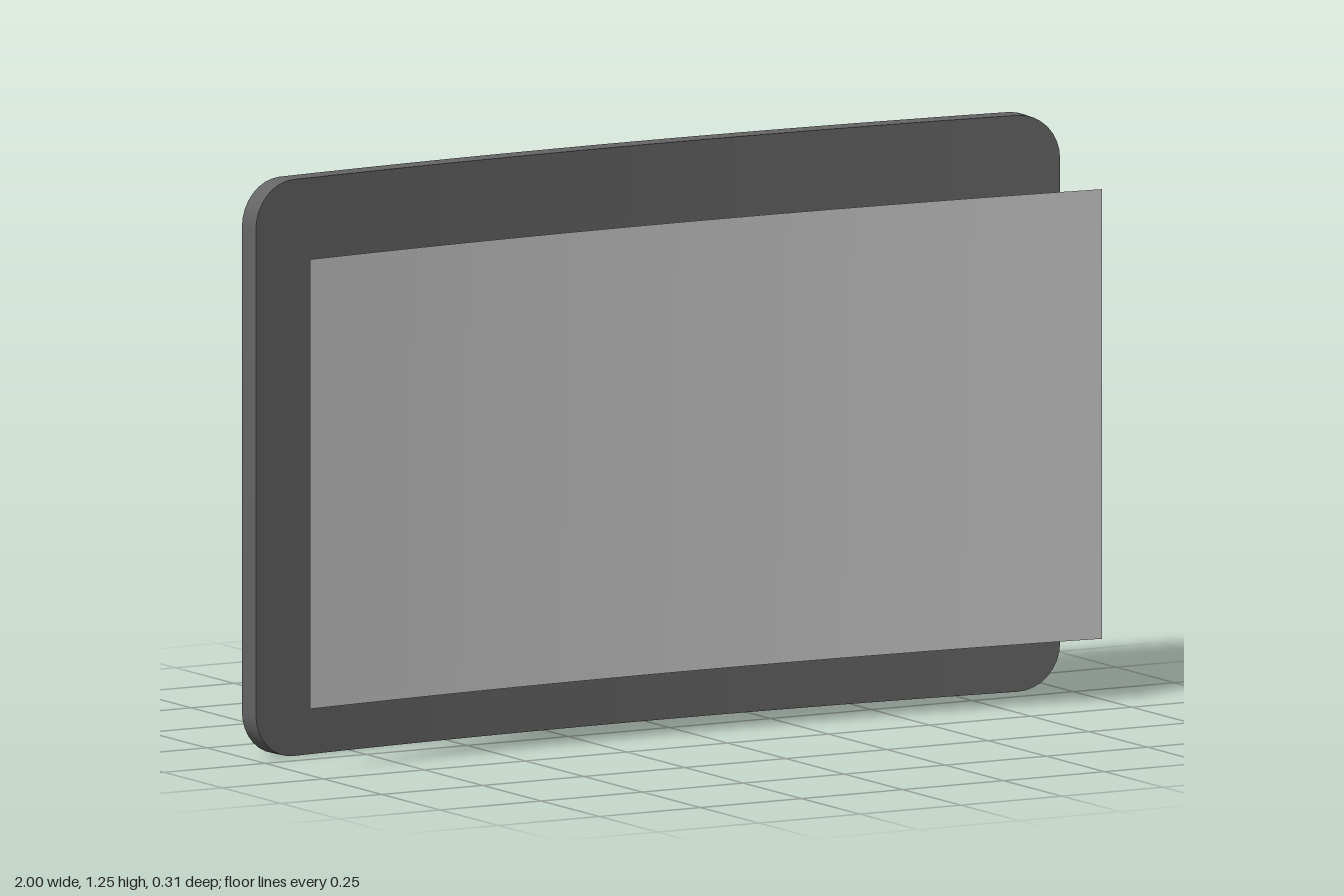
import * as THREE from 'three';
import { toCreasedNormals } from 'three/addons/utils/BufferGeometryUtils.js';

// Wraps a flat geometry around a vertical axis in front of it; radius applies at z = 0.
function bend(geometry, radius) {
  const p = geometry.attributes.position;
  for (let i = 0; i < p.count; i++) {
    const angle = p.getX(i) / radius;
    const r = radius - p.getZ(i);
    p.setXYZ(i, r * Math.sin(angle), p.getY(i), radius - r * Math.cos(angle));
  }
  geometry.computeVertexNormals();
  return geometry;
}

// Slab with rounded corners: box columns are moved so the end ones follow the corner arcs.
function roundedSlab(halfWidth, height, depth, corner) {
  const arcSteps = 8, middleSteps = 20;
  const columns = [];
  for (let i = 0; i < arcSteps; i++) {
    const a = (i / arcSteps) * Math.PI / 2;
    columns.push([-halfWidth + corner * (1 - Math.cos(a)), height / 2 - corner * (1 - Math.sin(a))]);
  }
  const inner = halfWidth - corner;
  for (let i = 0; i <= middleSteps; i++) {
    columns.push([-inner + 2 * inner * i / middleSteps, height / 2]);
  }
  for (let i = arcSteps - 1; i >= 0; i--) columns.push([-columns[i][0], columns[i][1]]);

  const n = columns.length - 1;
  const geometry = new THREE.BoxGeometry(n, 2, depth, n, 1, 1);
  const p = geometry.attributes.position;
  for (let i = 0; i < p.count; i++) {
    const [x, halfHeight] = columns[Math.round(p.getX(i) + n / 2)];
    p.setXYZ(i, x, Math.sign(p.getY(i)) * halfHeight, p.getZ(i));
  }
  return geometry;
}

export function createModel() {
  const group = new THREE.Group();
  const height = 1.25;

  // Curved back panel
  const panelGeometry = bend(roundedSlab(1, height, 0.05, 0.1), 8.78);
  const panel = new THREE.Mesh(
    toCreasedNormals(panelGeometry, 0.5),
    new THREE.MeshStandardMaterial({ color: 0x656565 })
  );
  panel.name = 'backPanel';
  panel.position.set(0, height / 2, -0.13);
  group.add(panel);

  // Thin curved screen floating in front
  const screen = new THREE.Mesh(
    bend(new THREE.PlaneGeometry(1.964, 0.975, 24, 1), 9.2),
    new THREE.MeshStandardMaterial({ color: 0xcccccc, side: THREE.DoubleSide })
  );
  screen.name = 'screen';
  screen.position.set(0, height / 2, 0.105);
  group.add(screen);

  return group;
}
